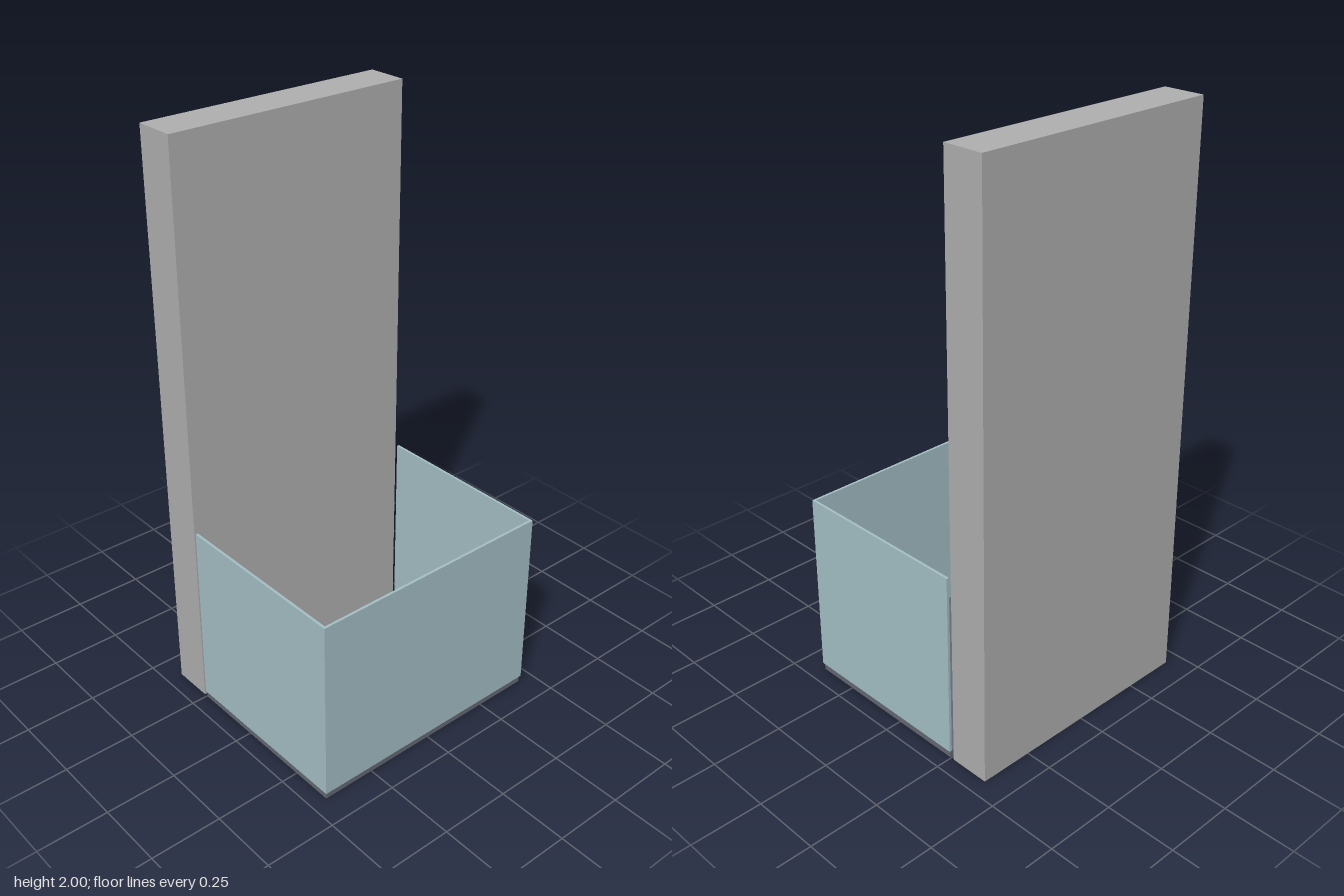
import * as THREE from 'three';

const mat = (name, color) => {
  const m = new THREE.MeshStandardMaterial({ color });
  m.name = name;
  return m;
};

export function createModel() {
  const group = new THREE.Group();
  group.name = 'balcony';
  const concrete = mat('wall grey', 0xb0b0b0);
  const glass = mat('glass blue', 0xa5c0c6);
  const slate = mat('floor slate', 0x656974);

  // Box given by its minimum and maximum corners
  const box = (name, material, [x0, y0, z0], [x1, y1, z1]) => {
    const mesh = new THREE.Mesh(new THREE.BoxGeometry(x1 - x0, y1 - y0, z1 - z0), material);
    mesh.position.set((x0 + x1) / 2, (y0 + y1) / 2, (z0 + z1) / 2);
    mesh.name = name;
    group.add(mesh);
  };

  const floorTop = 0.025, railTop = 0.677, inner = 0.396, outer = 0.405;

  // Tall wall behind a narrow gap
  box('wall', concrete, [-0.405, 0, -0.441], [-0.262, 2, 0.441]);

  // Thin floor slab
  box('floorSlab', slate, [-0.247, 0, -0.441], [0.4, floorTop, 0.441]);

  // Glass panels on three sides, open towards the wall
  box('outerPanel', glass, [inner, floorTop, -0.436], [outer, railTop, 0.436]);
  box('leftPanel', glass, [-0.248, floorTop, 0.436], [outer, railTop, 0.445]);
  box('rightPanel', glass, [-0.248, floorTop, -0.445], [outer, railTop, -0.436]);

  return group;
}
